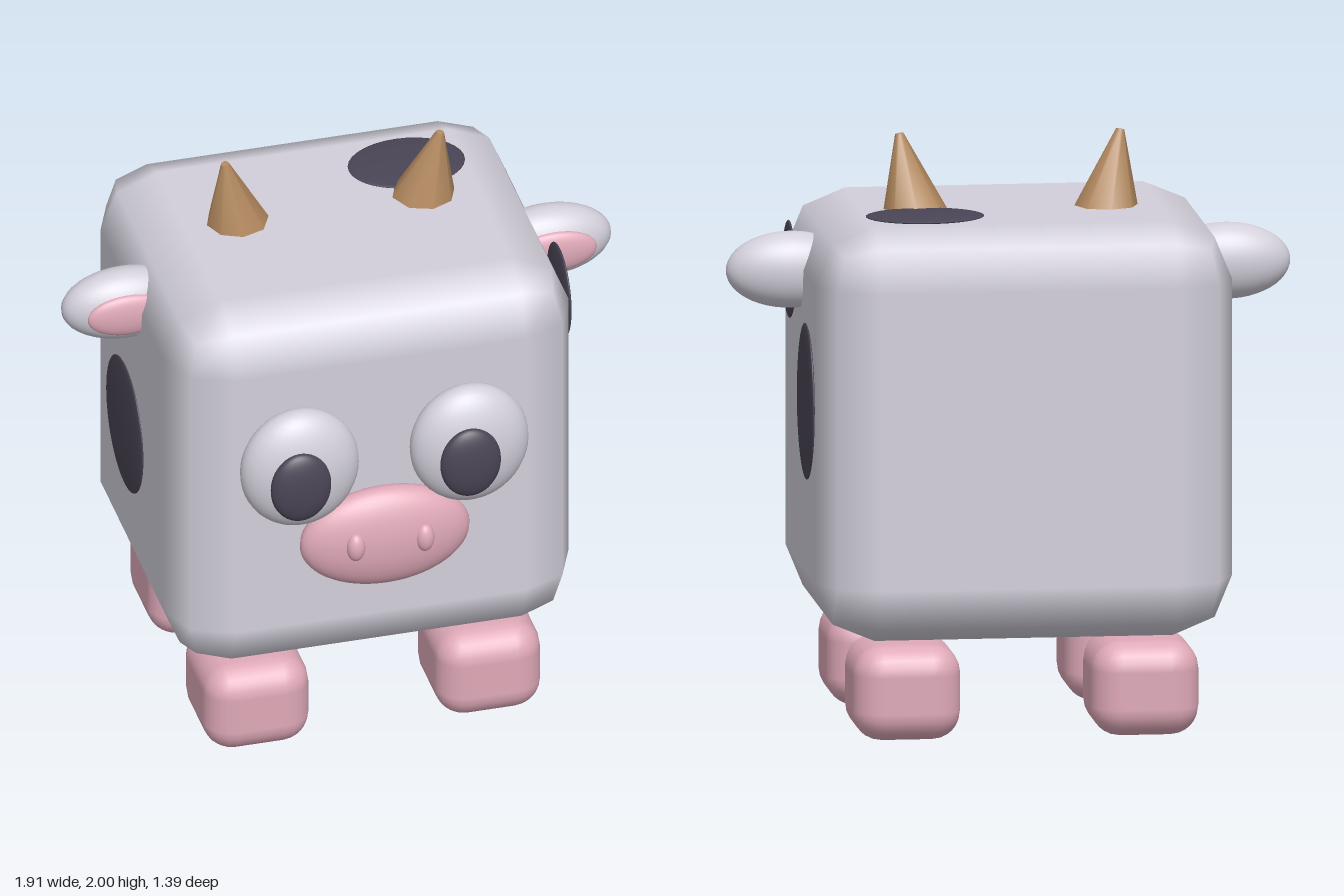
import * as THREE from 'three';
import { RoundedBoxGeometry } from 'three/addons/geometries/RoundedBoxGeometry.js';

const paint = (name, color) => {
  const m = new THREE.MeshStandardMaterial({ color });
  m.name = name;
  return m;
};

export function createModel() {
  const model = new THREE.Group();
  model.name = 'cow';
  const hide = paint('hide', 0xd2cfda);
  const pink = paint('pink', 0xdfa9b8);
  const dark = paint('dark', 0x4a4555);
  const horn = paint('horn', 0xb48a60);

  const add = (name, geometry, material, x, y, z) => {
    const mesh = new THREE.Mesh(geometry, material);
    mesh.name = name;
    mesh.position.set(x, y, z);
    model.add(mesh);
    return mesh;
  };
  const ball = new THREE.SphereGeometry(1, 32, 24);
  const ellipsoid = (name, material, [x, y, z], [rx, ry, rz]) =>
    add(name, ball, material, x, y, z).scale.set(rx, ry, rz);

  // Body: a box with wide two-step bevels
  add('body', new RoundedBoxGeometry(1.41, 1.41, 1.21, 1, 0.2), hide, 0, 1.04, -0.09);

  // Snout
  ellipsoid('snout', pink, [0, 0.877, 0.56], [0.295, 0.188, 0.09]);

  const legShape = new RoundedBoxGeometry(0.365, 0.325, 0.4, 3, 0.1);
  const hornShape = new THREE.CylinderGeometry(0.014, 0.12, 0.3, 8);
  const up = new THREE.Vector3(0, 1, 0);

  for (const s of [-1, 1]) {
    const side = s > 0 ? 'left' : 'right';

    // Legs
    add(side + 'FrontLeg', legShape, pink, s * 0.403, 0.1675, 0.28);
    add(side + 'BackLeg', legShape, pink, s * 0.403, 0.1675, -0.44);

    // Horns lean outward and slightly forward
    const lean = new THREE.Vector3(s * 0.045, 0.255, 0.025).normalize();
    add(side + 'Horn', hornShape, horn, s * 0.348, 1.851, -0.13)
      .quaternion.setFromUnitVectors(up, lean);

    // Ears with pink insides
    ellipsoid(side + 'Ear', hide, [s * 0.735, 1.535, -0.07], [0.22, 0.13, 0.1]);
    ellipsoid(side + 'InnerEar', pink, [s * 0.74, 1.535, 0.012], [0.145, 0.077, 0.03]);

    // Eyes, both glancing to the same side
    ellipsoid(side + 'Eye', hide, [s * 0.295, 1.195, 0.555], [0.205, 0.225, 0.105]);
    ellipsoid(side + 'Pupil', dark, [s * 0.295 - 0.02, 1.175, 0.65], [0.105, 0.132, 0.042]);

    // Nostrils
    ellipsoid(side + 'Nostril', pink, [s * 0.12, 0.89, 0.635], [0.032, 0.052, 0.03]);
  }

  // Dark patches lying on the hide
  ellipsoid('shoulderPatch', dark, [0.71, 1.495, 0.177], [0.015, 0.165, 0.15]);
  ellipsoid('flankPatch', dark, [0.71, 1.12, -0.28], [0.015, 0.265, 0.215]);
  ellipsoid('rightPatch', dark, [-0.71, 0.98, -0.16], [0.015, 0.238, 0.235]);
  ellipsoid('backPatch', dark, [0.313, 1.75, -0.325], [0.2, 0.013, 0.15]);

  return model;
}
